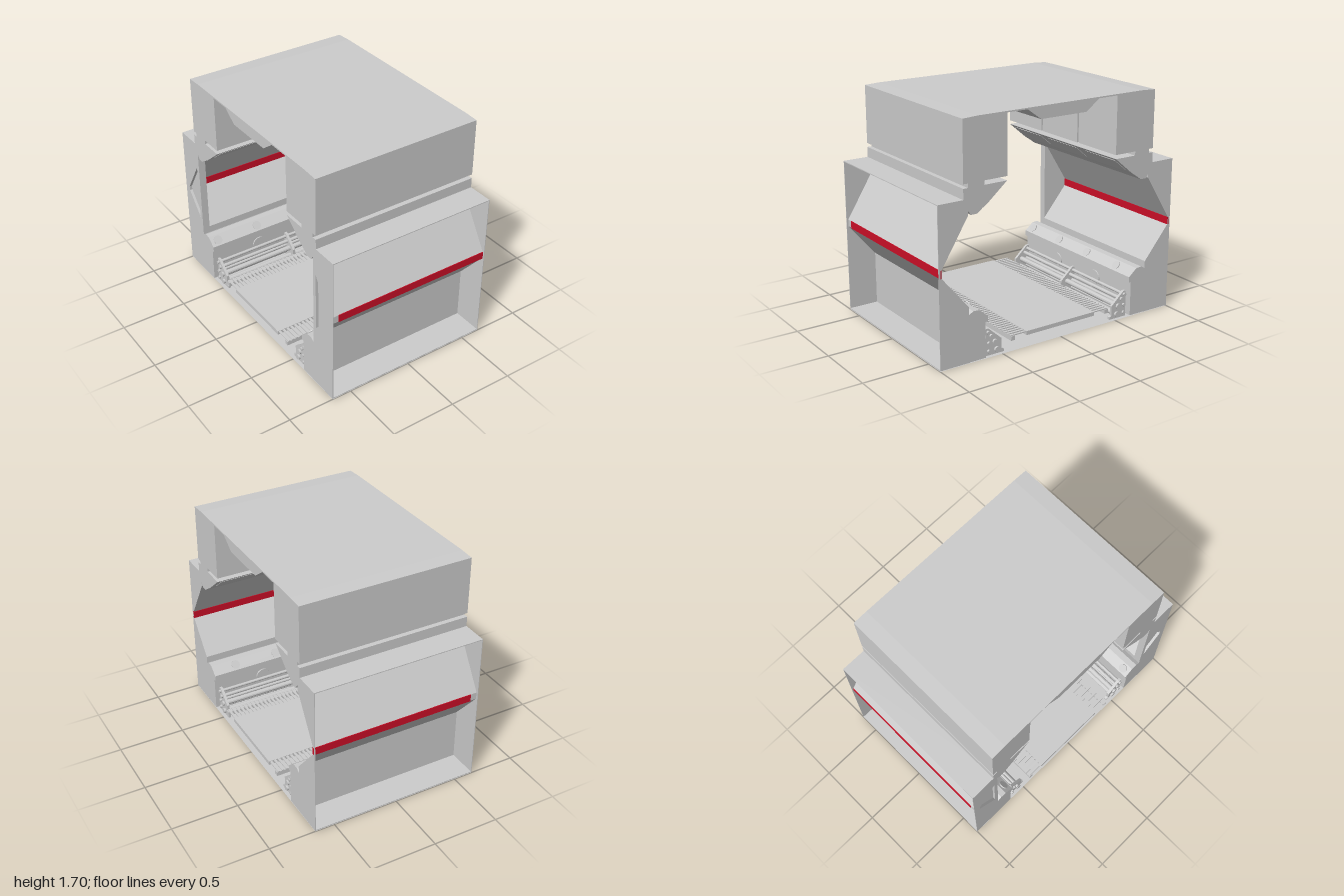
import * as THREE from 'three';

const HALF = 0.65; // half length of the corridor section along x

export function createModel() {
  const model = new THREE.Group();
  model.name = 'corridorSection';
  const grey = new THREE.MeshStandardMaterial({ color: 0xcccccc, flatShading: true, side: THREE.DoubleSide });
  const red = grey.clone();
  red.color.set(0xcc0f27);

  const add = (name, geometry, parent = model, material = grey) => {
    const mesh = new THREE.Mesh(geometry, material);
    mesh.name = name;
    parent.add(mesh);
    return mesh;
  };
  const outline = (pts, s) => pts.map(([z, y]) => new THREE.Vector2(z * s, y));
  // Extrude a (z, y) profile along x from x0 to x1; s = -1 mirrors it in z
  const extrudeX = (pts, x0 = -HALF, x1 = HALF, s = 1, hole = null) => {
    const shape = new THREE.Shape(outline(pts, s));
    if (hole) shape.holes.push(new THREE.Path(outline(hole, s)));
    const g = new THREE.ExtrudeGeometry(shape, { depth: x1 - x0, bevelEnabled: false });
    return g.rotateY(-Math.PI / 2).translate(x1, 0, 0);
  };
  const box = (x0, x1, y0, y1, z0, z1) =>
    new THREE.BoxGeometry(x1 - x0, y1 - y0, Math.abs(z1 - z0))
      .translate((x0 + x1) / 2, (y0 + y1) / 2, (z0 + z1) / 2);

  // Roof and ceiling rib
  add('roof', extrudeX([[-0.805, 1.69], [0.805, 1.69], [0.805, 1.694], [0.69, 1.7], [-0.69, 1.7], [-0.805, 1.694]]));
  add('ceilingRib', extrudeX([[-0.3, 1.69], [-0.19, 1.61], [0.19, 1.61], [0.3, 1.69]]));

  // Floor
  add('underside', new THREE.PlaneGeometry(2 * HALF, 2).rotateX(Math.PI / 2).translate(0, 0.004, 0));
  add('walkway', box(-HALF, HALF, 0.09, 0.12, -0.3, 0.3));

  const bulge = [[0.77, 0.41], [0.98, 0.66], [0.98, 0.712], [0.77, 1.05]];
  const skin = [[0.77, 0.01], ...bulge, [0.77, 1.16]];
  const skinBack = skin.map(([z, y]) => [z + 0.006, y]).reverse();
  const endPlate = [[0.77, 0.01], [1, 0.01], [1, 1.16], [0.77, 1.16], ...[...bulge].reverse()];
  const recess = [[0.8, 0.5], [0.95, 0.67], [0.95, 0.705], [0.8, 0.95]];
  const locker = [
    [0.805, 1.69], [0.475, 1.69], [0.475, 1.265], [0.64, 1.265], [0.64, 1.235], [0.464, 1.235],
    [0.614, 1.11], [0.66, 1.08], [0.7, 1.05], [0.748, 1.05], [0.77, 1.08], [0.77, 1.16],
    [0.805, 1.16], [0.805, 1.235], [0.77, 1.235], [0.77, 1.265], [0.805, 1.265],
  ];
  const plinth = [
    [0.77, 0.01], [0.64, 0.01], [0.64, 0.273], [0.622, 0.273], [0.622, 0.315],
    [0.69, 0.372], [0.737, 0.375], [0.77, 0.355],
  ];
  const bracket = [
    [0.62, 0.003], [0.62, 0.204], [0.598, 0.204], [0.49, 0.107], [0.49, 0.03], [0.47, 0.024], [0.47, 0.003],
  ];
  // Pipe centres and radii: z, y, r
  const pipes = [
    [0.603, 0.178, 0.012], [0.577, 0.146, 0.014], [0.547, 0.097, 0.02],
    [0.598, 0.097, 0.012], [0.598, 0.037, 0.012], [0.533, 0.037, 0.02],
  ];

  for (const s of [1, -1]) {
    const side = new THREE.Group();
    side.name = s > 0 ? 'frontSide' : 'backSide';
    model.add(side);

    // Bulged wall, its open outer casing and the red stripe
    add('wallPanel', extrudeX([...skin, ...skinBack], -HALF, HALF, s), side);
    add('redStripe', box(-0.595, HALF, 0.658, 0.714, s * 0.974, s * 0.99), side, red);
    add('casingTop', box(-HALF, HALF, 1.154, 1.16, s * 0.77, s), side);
    add('casingBottom', box(-HALF, HALF, 0.008, 0.014, s * 0.77, s), side);
    add('endPlate', extrudeX(endPlate, HALF - 0.005, HALF, s), side);
    add('endPlate', extrudeX(endPlate, -HALF, -HALF + 0.005, s), side);

    // Bulkhead closing the bulge at one end, with a shallow recess
    add('bulkheadFrame', extrudeX(bulge, -HALF, -0.63, s, recess), side);
    add('bulkhead', extrudeX(bulge, -0.63, -0.595, s), side);

    // Overhead locker with three doors and three sloped panels below
    add('locker', extrudeX(locker, -HALF, HALF, s), side);
    for (let i = -1; i <= 1; i++) {
      const x = i * 0.44;
      add('lockerDoor', box(x - 0.21, x + 0.21, 1.265, 1.69, s * 0.462, s * 0.476), side);
      const panel = add('slopedPanel', new THREE.BoxGeometry(0.34, 0.005, 0.13), side);
      panel.position.set(x, 1.173, s * 0.538);
      panel.rotation.x = s * Math.atan2(0.125, 0.15);
    }

    // Plinth with round lamps on the slope and covers on the face
    add('plinth', extrudeX(plinth, -HALF, HALF, s), side);
    for (const x of [-0.59, -0.24, 0.11, 0.46]) {
      const lamp = add('lamp', new THREE.CylinderGeometry(0.034, 0.034, 0.008, 24), side);
      lamp.position.set(x, 0.345, s * 0.655);
      lamp.rotation.x = -s * 0.87;
    }
    for (const x of [-0.235, 0.235]) {
      const cover = add('roundCover', new THREE.CylinderGeometry(0.055, 0.055, 0.012, 24), side);
      cover.position.set(x, 0.185, s * 0.637);
      cover.rotation.x = Math.PI / 2;
    }

    // Pipes carried by three brackets
    for (const x of [-0.61, 0, 0.61]) add('pipeBracket', extrudeX(bracket, x - 0.01, x + 0.01, s), side);
    for (const [z, y, r] of pipes) {
      const pipe = add('pipe', new THREE.CylinderGeometry(r, r, 1.27, 12), side);
      pipe.position.set(0, y, s * z);
      pipe.rotation.z = Math.PI / 2;
    }

    // Slatted grating along the walkway edge
    add('gratingRail', box(-HALF, HALF, 0.08, 0.112, s * 0.398, s * 0.43), side);
    for (let i = 0; i < 40; i++) {
      const x = -0.634 + i * 0.0325;
      add('gratingSlat', box(x - 0.009, x + 0.009, 0.11, 0.118, s * 0.3, s * 0.43), side);
    }
  }
  return model;
}
